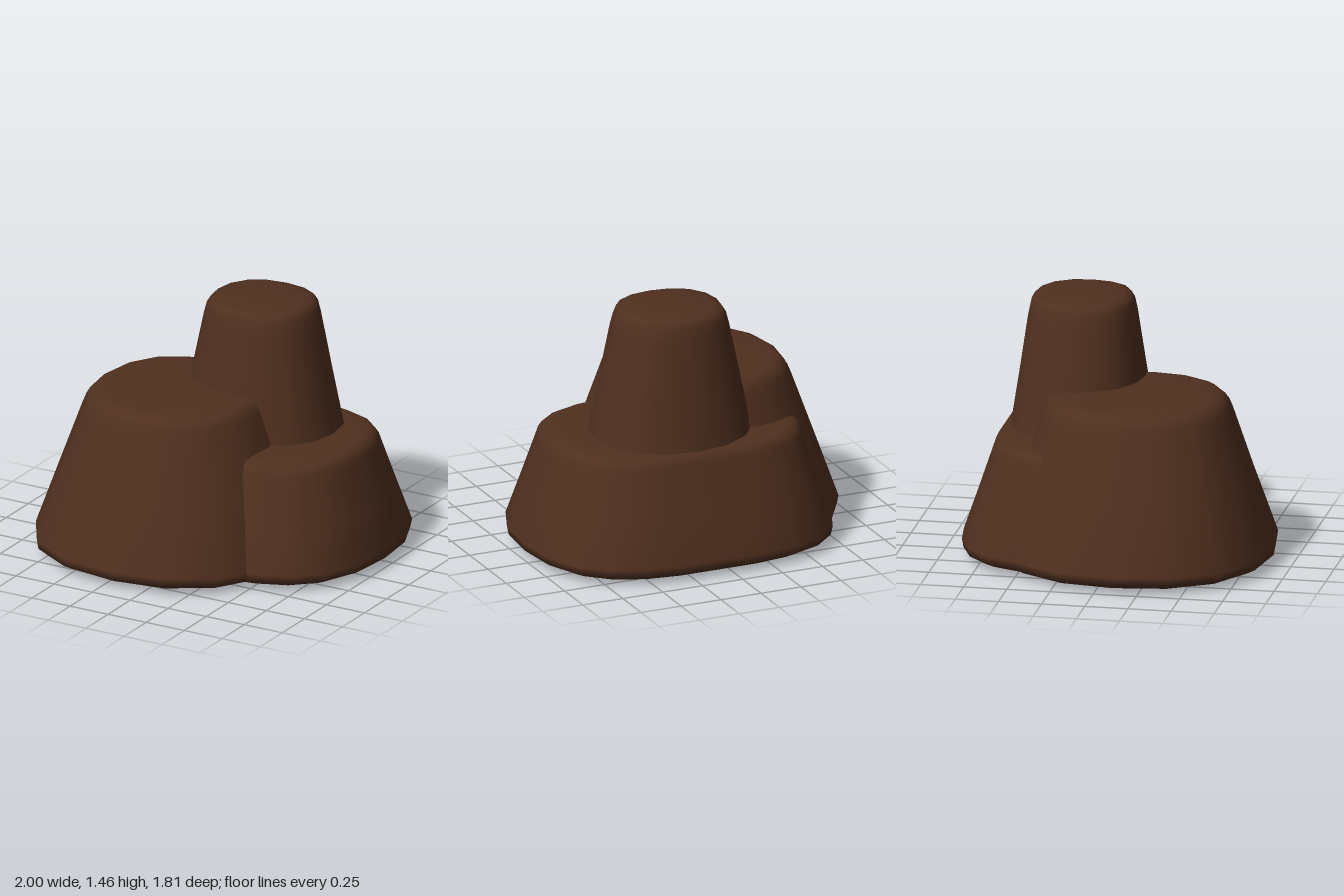
import * as THREE from 'three';

// Quarter outlines (unit half-extents), mirrored into full rings
const ROUND = [[1, 0], [0.94, 0.41], [0.74, 0.74], [0.41, 0.94], [0, 1]];
const BROAD = [[1, 0], [0.97, 0.38], [0.87, 0.68], [0.715, 0.86], [0.51, 0.96], [0.28, 1], [0, 1]];

function fullRing(quarter) {
  const back = quarter.slice(0, -1).reverse();
  const half = [...quarter, ...back.map(([x, z]) => [-x, z])];
  return [...half, ...half.slice(1, -1).reverse().map(([x, z]) => [x, -z])];
}

// Loft a ring through levels of [y, half width, half depth], closed at both ends
function loft(quarter, levels) {
  const ring = fullRing(quarter);
  const n = ring.length;
  const pos = [];
  const index = [];
  levels.forEach(([y, w, d]) => ring.forEach(([x, z]) => pos.push(x * w, y, z * d)));
  const bottom = pos.length / 3;
  const top = bottom + 1;
  const last = (levels.length - 1) * n;
  pos.push(0, levels[0][0], 0, 0, levels[levels.length - 1][0], 0);
  for (let i = 0; i < n; i++) {
    const j = (i + 1) % n;
    for (let l = 0; l < last; l += n) {
      index.push(l + i, l + n + i, l + j, l + j, l + n + i, l + n + j);
    }
    index.push(bottom, i, j, top, last + j, last + i);
  }
  const geometry = new THREE.BufferGeometry();
  geometry.setAttribute('position', new THREE.Float32BufferAttribute(pos, 3));
  geometry.setIndex(index);
  geometry.computeVertexNormals();
  return geometry;
}

// Slightly domed underside and rounded foot shared by the two base mounds
const foot = (w, d) => [[0, 0.5], [0.01, 0.8], [0.025, 0.93], [0.05, 0.988], [0.1, 1]]
  .map(([y, s]) => [y, w * s, d * s]);

export function createModel() {
  const group = new THREE.Group();
  const material = new THREE.MeshStandardMaterial({ color: 0x50301f });

  const addMound = (name, quarter, levels, x, z) => {
    const mesh = new THREE.Mesh(loft(quarter, levels), material);
    mesh.name = name;
    mesh.position.set(x, 0, z);
    group.add(mesh);
  };

  // Large front mound
  addMound('frontMound', ROUND, [
    ...foot(0.8, 0.8),
    [0.5, 0.66, 0.66], [0.85, 0.535, 0.545], [0.9, 0.515, 0.525],
    [0.935, 0.495, 0.5], [0.955, 0.465, 0.465], [0.965, 0.41, 0.41], [0.975, 0.2, 0.2],
  ], -0.2, 0.1);

  // Low wide mound behind it
  addMound('backMound', BROAD, [
    ...foot(0.915, 0.73),
    [0.35, 0.835, 0.645], [0.6, 0.757, 0.563], [0.64, 0.745, 0.55],
    [0.67, 0.725, 0.535], [0.688, 0.69, 0.505], [0.698, 0.62, 0.44], [0.708, 0.3, 0.2],
  ], 0.085, -0.18);

  // Tall tapering peak
  addMound('peak', ROUND, [
    [0.4, 0.53, 0.45], [0.7, 0.465, 0.405], [1.0, 0.403, 0.358], [1.33, 0.335, 0.31],
    [1.4, 0.317, 0.295], [1.435, 0.295, 0.275], [1.45, 0.245, 0.23], [1.46, 0.12, 0.11],
  ], 0.13, -0.28);

  return group;
}
